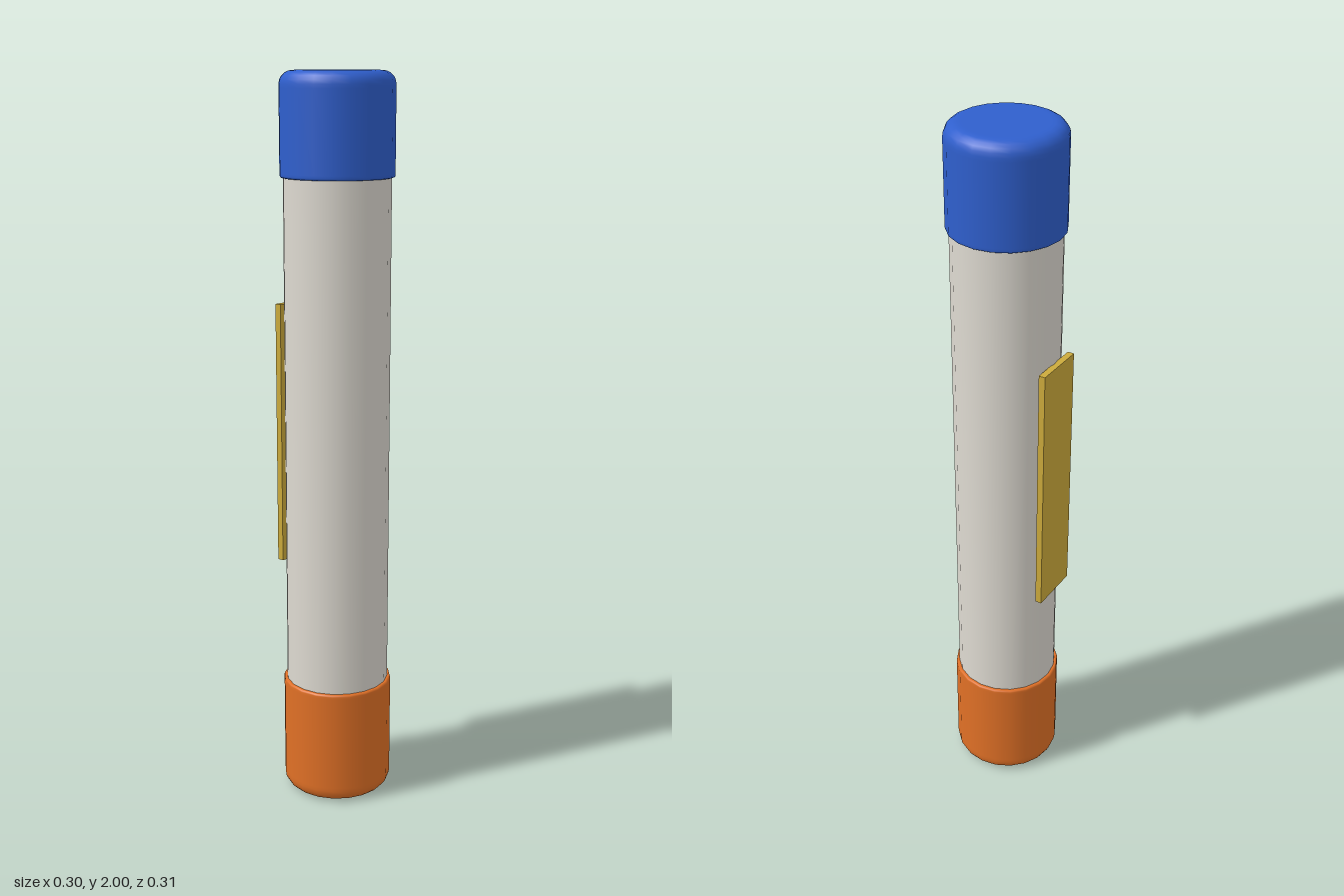
import * as THREE from 'three';

const SIDES = 20;
const CAP_R = 0.152, BODY_R = 0.143, ROUND = 0.035;
const CENTRE_Z = 0.002;

function material(name, color) {
  const m = new THREE.MeshStandardMaterial({ color });
  m.name = name;
  return m;
}

// Closed cap profile: open rim at y = 0, rounded end at y = height
function capGeometry(height) {
  const pts = [
    [BODY_R - 0.02, 0], [CAP_R - 0.005, 0], [CAP_R - 0.001, 0.002],
    [CAP_R, 0.006], [CAP_R, 0.012], [CAP_R, height - ROUND - 0.01],
  ].map(([x, y]) => new THREE.Vector2(x, y));
  for (let i = 0; i <= 5; i++) {
    const a = (i / 5) * Math.PI / 2;
    pts.push(new THREE.Vector2(CAP_R - ROUND + ROUND * Math.cos(a), height - ROUND + ROUND * Math.sin(a)));
  }
  pts.push(new THREE.Vector2(CAP_R - ROUND - 0.01, height), new THREE.Vector2(0, height));
  return new THREE.LatheGeometry(pts, SIDES);
}

export function createModel() {
  const group = new THREE.Group();
  const add = (name, geometry, mat, x, y, z) => {
    const mesh = new THREE.Mesh(geometry, mat);
    mesh.name = name;
    mesh.position.set(x, y, z);
    group.add(mesh);
    return mesh;
  };

  // Tube body, its ends hidden inside the caps
  add('body', new THREE.CylinderGeometry(BODY_R, BODY_R, 1.46, SIDES),
    material('offWhite', 0xdedad1), 0, 1.03, CENTRE_Z);

  // End caps
  add('topCap', capGeometry(0.27), material('blue', 0x2f5fcd), 0, 1.73, CENTRE_Z);
  const bottom = add('bottomCap', capGeometry(0.33), material('orange', 0xe07026), 0, 0.33, CENTRE_Z);
  bottom.rotation.x = Math.PI;

  // Label plate on the back
  add('labelPlate', new THREE.BoxGeometry(0.146, 0.73, 0.018),
    material('mustard', 0xccab3c), 0, 1.025, -0.147);

  return group;
}
